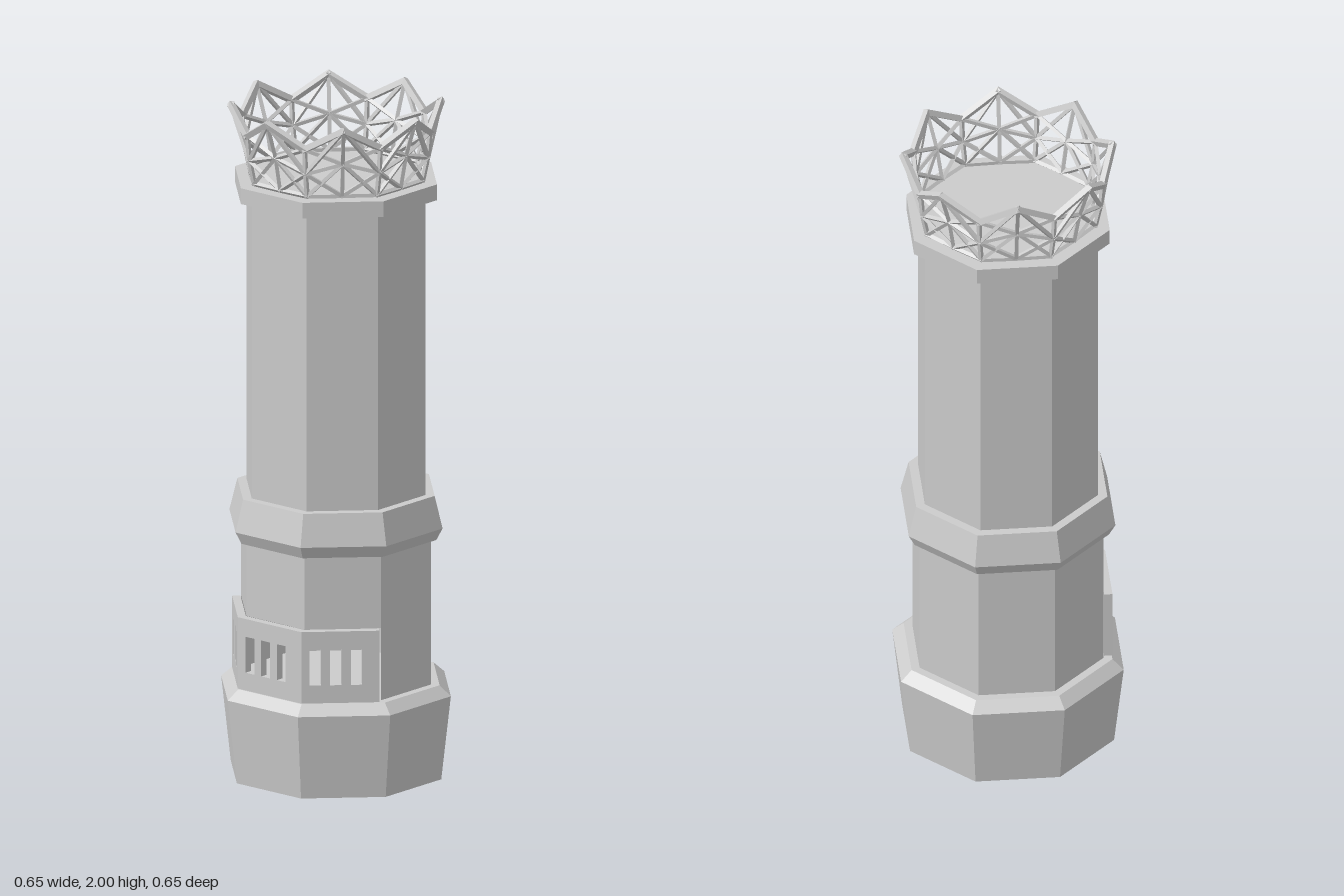
import * as THREE from 'three';
import { mergeGeometries } from 'three/addons/utils/BufferGeometryUtils.js';

const SIDES = 8;
const STEP = (Math.PI * 2) / SIDES;
const TURN = THREE.MathUtils.degToRad(1.3); // the whole octagon is slightly turned
const CORNER = TURN + STEP / 2; // first corner, measured from +z towards +x

const mat = new THREE.MeshStandardMaterial({ color: 0xcccccc, flatShading: true });
const matDouble = new THREE.MeshStandardMaterial({
  color: 0xcccccc, flatShading: true, side: THREE.DoubleSide,
});

function octagon(name, profile) {
  const pts = profile.map(([r, y]) => new THREE.Vector2(r, y));
  const mesh = new THREE.Mesh(new THREE.LatheGeometry(pts, SIDES, CORNER, Math.PI * 2), mat);
  mesh.name = name;
  return mesh;
}

// Point on a ring: index 0 is the front face centre, halves are corners
function ringPoint(i, r, y) {
  const a = TURN + i * STEP;
  return new THREE.Vector3(r * Math.sin(a), y, r * Math.cos(a));
}

// Square bar between two points
function bar(a, b, r) {
  const dir = b.clone().sub(a);
  const g = new THREE.CylinderGeometry(r, r, dir.length() + r, 4, 1);
  g.applyQuaternion(new THREE.Quaternion().setFromUnitVectors(
    new THREE.Vector3(0, 1, 0), dir.normalize()));
  const mid = a.clone().add(b).multiplyScalar(0.5);
  return g.translate(mid.x, mid.y, mid.z);
}

// Flat panel with three upright slots, set on one face of the octagon
function grillePanel(name, face, x0, x1, slotShift) {
  const R = 0.315, depth = 0.024, bottom = 0.282, top = 0.495;
  const rect = (path, a, b, c, d) => {
    path.moveTo(a, c);
    path.lineTo(b, c);
    path.lineTo(b, d);
    path.lineTo(a, d);
    path.closePath();
    return path;
  };
  const shape = rect(new THREE.Shape(), x0, x1, bottom, top);
  for (const k of [-1, 0, 1]) {
    const c = slotShift + k * 0.059;
    shape.holes.push(rect(new THREE.Path(), c - 0.0165, c + 0.0165, 0.335, 0.442));
  }
  const g = new THREE.ExtrudeGeometry(shape, { depth, bevelEnabled: false });
  g.translate(0, 0, R * Math.cos(STEP / 2) - depth);
  const mesh = new THREE.Mesh(g, mat);
  mesh.rotation.y = TURN + face * STEP;
  mesh.name = name;
  return mesh;
}

function latticeCrown() {
  const rim = [], struts = [];
  for (let i = 0; i < SIDES; i++) {
    const peak = ringPoint(i, 0.301, 1.988);
    const hub = ringPoint(i, 0.265, 1.88);
    const foot = ringPoint(i, 0.245, 1.78);
    for (const s of [-0.5, 0.5]) {
      const valley = ringPoint(i + s, 0.284, 1.925);
      const knee = ringPoint(i + s, 0.277, 1.85);
      const corner = ringPoint(i + s, 0.262, 1.78);
      rim.push(bar(peak, valley, 0.012));
      for (const [a, b] of [[hub, valley], [hub, knee], [hub, corner],
        [foot, knee], [foot, corner], [peak, knee]]) {
        struts.push(bar(a, b, 0.0075));
      }
      if (s > 0) struts.push(bar(valley, knee, 0.0075), bar(knee, corner, 0.0075));
    }
    struts.push(bar(peak, hub, 0.0075), bar(hub, foot, 0.0075));
  }
  const crown = new THREE.Group();
  crown.name = 'latticeCrown';
  const rimMesh = new THREE.Mesh(mergeGeometries(rim), mat);
  rimMesh.name = 'crownRim';
  const strutMesh = new THREE.Mesh(mergeGeometries(struts), mat);
  strutMesh.name = 'crownStruts';
  crown.add(rimMesh, strutMesh);
  return crown;
}

export function createModel() {
  const tower = new THREE.Group();
  tower.name = 'tower';

  // Flared plinth with a sloped shoulder
  tower.add(octagon('plinth', [[0, 0], [0.318, 0], [0.347, 0.25], [0.313, 0.28], [0, 0.28]]));

  // Hollow room: five walls, open at the front where the grille stands
  const room = new THREE.Mesh(
    new THREE.CylinderGeometry(0.287, 0.287, 0.215, 5, 1, true, CORNER + STEP, STEP * 5), matDouble);
  room.position.y = 0.3875;
  room.name = 'roomWalls';
  tower.add(room);

  // Three slotted panels; the outer two stop just short of the corners
  const half = 0.315 * Math.sin(STEP / 2);
  const end = half * 0.86;
  tower.add(grillePanel('frontGrille', 0, -half, half, -0.015));
  tower.add(grillePanel('leftGrille', 1, -half, end, -0.021));
  tower.add(grillePanel('rightGrille', -1, -end, half, 0.021));

  // Shaft, collar and top cap
  tower.add(octagon('lowerShaft', [[0, 0.495], [0.287, 0.495], [0.287, 0.72]]));
  tower.add(octagon('collar', [[0.27, 0.712], [0.303, 0.712], [0.322, 0.748], [0.298, 0.843], [0.26, 0.843]]));
  tower.add(octagon('upperShaft', [[0.27, 0.84], [0.27, 1.73]]));
  tower.add(octagon('cap', [[0.26, 1.725], [0.305, 1.725], [0.305, 1.772], [0, 1.772]]));

  tower.add(latticeCrown());
  return tower;
}
